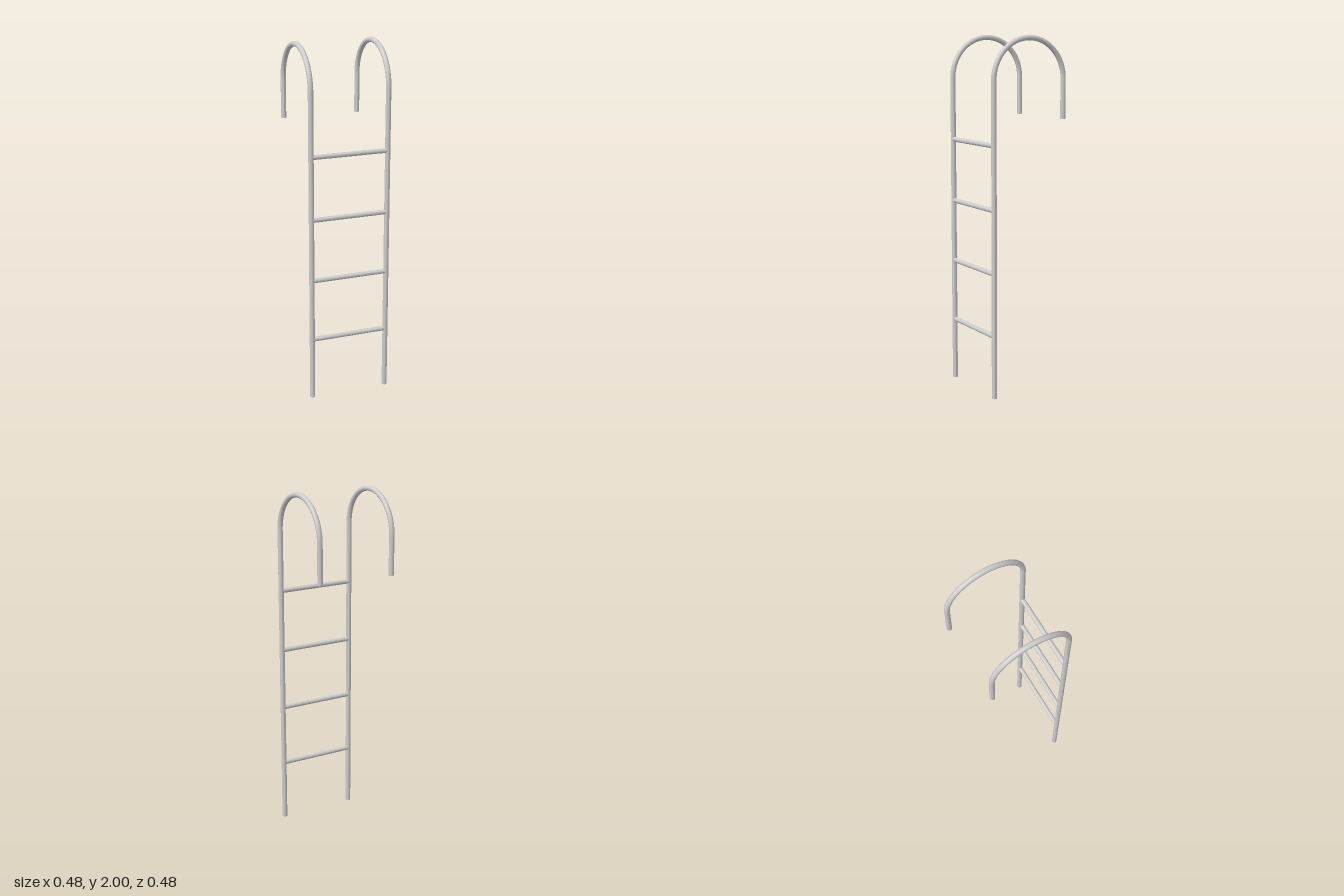
import * as THREE from 'three';

const RAIL_X = 0.2235;   // rail distance from the middle
const BEND = 0.2235;     // radius of the top hook
const RAIL_R = 0.0147;
const RUNG_R = 0.0133;
const BEND_Y = 2 - RAIL_R - BEND;
const TIP_Y = 1.54;      // lower end of the hook
const SIDES = 24;

const material = new THREE.MeshStandardMaterial({ color: 0xcccccc });

function add(parent, name, geometry) {
  const mesh = new THREE.Mesh(geometry, material);
  mesh.name = name;
  parent.add(mesh);
  return mesh;
}

// Upright tube between two heights, closed at its lower end
function addUpright(parent, name, z, bottom, top) {
  const tube = new THREE.CylinderGeometry(RAIL_R, RAIL_R, top - bottom, SIDES, 1, true);
  add(parent, name, tube).position.set(0, (top + bottom) / 2, z);
  const cap = add(parent, name + 'EndCap', new THREE.CircleGeometry(RAIL_R, SIDES).rotateX(Math.PI / 2));
  cap.position.set(0, bottom, z);
}

// Long front upright, half-circle hook and short rear end
function makeRail(name, x) {
  const rail = new THREE.Group();
  rail.name = name;
  rail.position.x = x;
  addUpright(rail, 'upright', BEND, 0, BEND_Y);
  addUpright(rail, 'hookEnd', -BEND, TIP_Y, BEND_Y);
  const bend = new THREE.TorusGeometry(BEND, RAIL_R, SIDES, 48, Math.PI).rotateY(Math.PI / 2);
  add(rail, 'hookBend', bend).position.y = BEND_Y;
  return rail;
}

export function createModel() {
  const ladder = new THREE.Group();
  ladder.name = 'ladder';
  ladder.add(makeRail('leftRail', RAIL_X), makeRail('rightRail', -RAIL_X));

  // Evenly spaced rungs between the front uprights
  for (let i = 1; i <= 4; i++) {
    const rung = new THREE.CylinderGeometry(RUNG_R, RUNG_R, 2 * RAIL_X - 0.01, SIDES).rotateZ(Math.PI / 2);
    add(ladder, 'rung' + i, rung).position.set(0, 0.003 + i * 0.3523, BEND - 0.001);
  }
  return ladder;
}
